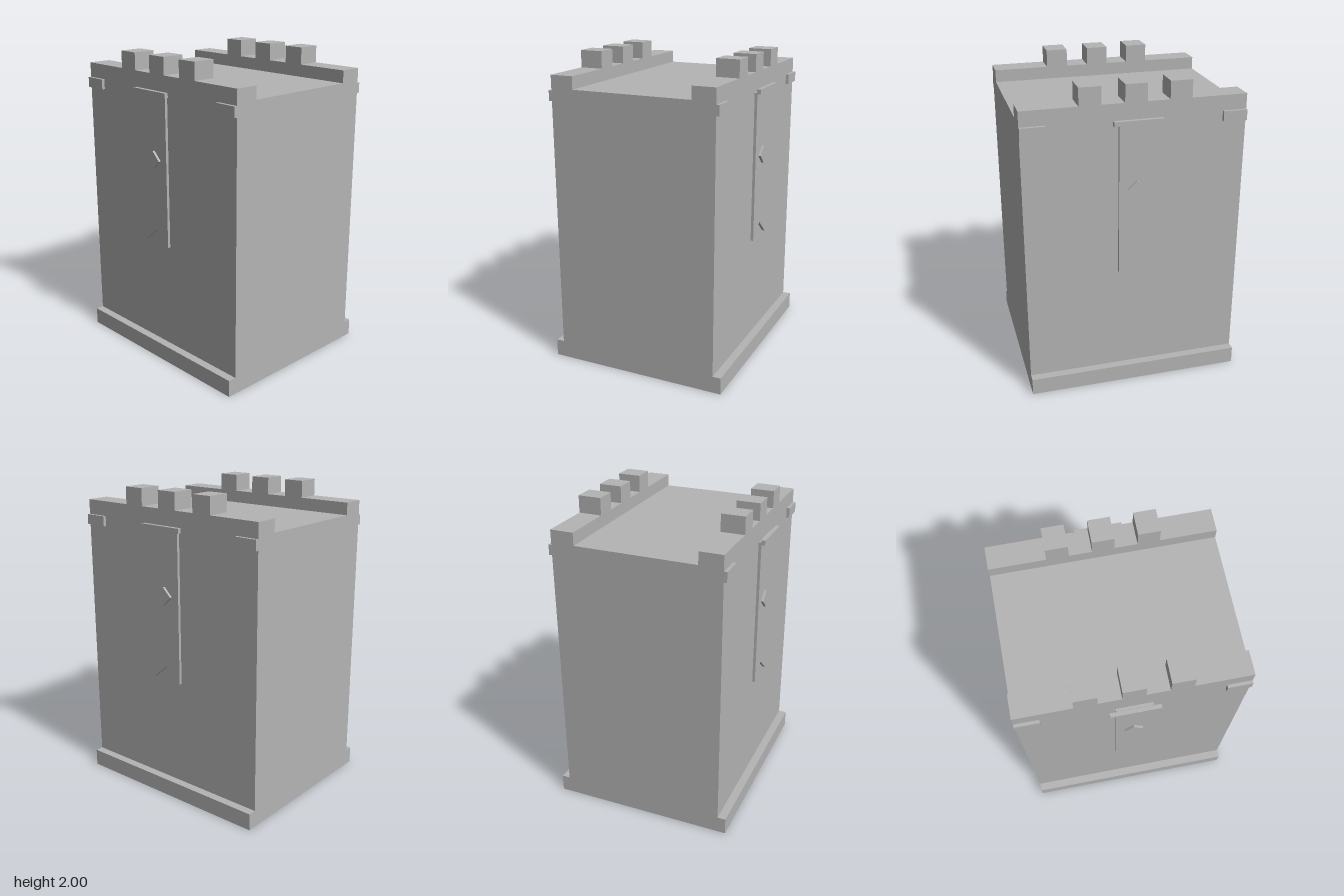
import * as THREE from 'three';

export function createModel() {
  const model = new THREE.Group();
  model.name = 'castleTower';
  const stone = new THREE.MeshStandardMaterial({ color: 0xb4b4b4 });
  stone.name = 'stoneGrey';

  const add = (parent, name, geometry) => {
    const mesh = new THREE.Mesh(geometry, stone);
    mesh.name = name;
    parent.add(mesh);
    return mesh;
  };
  // box given by its minimum and maximum on each axis
  const box = (parent, name, [x0, x1], [y0, y1], [z0, z1]) => {
    const g = new THREE.BoxGeometry(x1 - x0, y1 - y0, z1 - z0);
    g.translate((x0 + x1) / 2, (y0 + y1) / 2, (z0 + z1) / 2);
    return add(parent, name, g);
  };
  const outline = (pts, Type = THREE.Shape) => new Type(pts.map(([x, y]) => new THREE.Vector2(x, y)));
  const extrude = (shape, depth) => new THREE.ExtrudeGeometry(shape, { depth, bevelEnabled: false });
  const rect = (x0, x1, y0, y1) => [[x0, y0], [x1, y0], [x1, y1], [x0, y1]];

  // walls, roof deck and both parapets as one profile
  const profile = outline([
    [-0.54, 0.11], [0.54, 0.11], [0.54, 1.89], [0.39, 1.89],
    [0.39, 1.81], [-0.39, 1.81], [-0.39, 1.89], [-0.54, 1.89],
  ]);
  add(model, 'towerBody', extrude(profile, 1.38).translate(0, 0, -0.69));

  // plinth, open underneath: two large bays and a narrow groove at each end
  const plinth = outline(rect(-0.593, 0.593, -0.69, 0.69));
  for (const [z0, z1] of [[-0.67, -0.61], [-0.57, -0.035], [0.035, 0.57], [0.61, 0.67]]) {
    plinth.holes.push(outline(rect(-0.54, 0.54, z0, z1), THREE.Path));
  }
  add(model, 'plinth', extrude(plinth, 0.11).rotateX(-Math.PI / 2));

  // everything on one side, then turned half round for the other
  for (const name of ['leftSide', 'rightSide']) {
    const side = new THREE.Group();
    side.name = name;
    if (name === 'rightSide') side.rotation.y = Math.PI;
    model.add(side);

    for (const z of [-0.275, 0, 0.275]) {
      box(side, 'merlon', [0.39, 0.54], [1.89, 2], [z - 0.068, z + 0.068]);
    }
    box(side, 'cornerBlockFront', [0.54, 0.56], [1.73, 1.795], [0.54, 0.69]);
    box(side, 'cornerBlockBack', [0.54, 0.56], [1.73, 1.795], [-0.69, -0.54]);
    box(side, 'bannerRod', [0.58, 0.605], [1.77, 1.8], [-0.15, 0.15]);

    // swallow-tailed banner and its diamond, turned to face outwards
    const banner = outline([[-0.11, 0.805], [0, 0.9], [0.11, 0.805], [0.11, 1.77], [-0.11, 1.77]]);
    add(side, 'banner', extrude(banner, 0.018).rotateY(Math.PI / 2).translate(0.552, 0, 0));
    const diamond = outline([[0, 1.305], [0.058, 1.362], [0, 1.42], [-0.058, 1.362]]);
    add(side, 'bannerDiamond', extrude(diamond, 0.016).rotateY(Math.PI / 2).translate(0.57, 0, 0));
  }
  return model;
}
